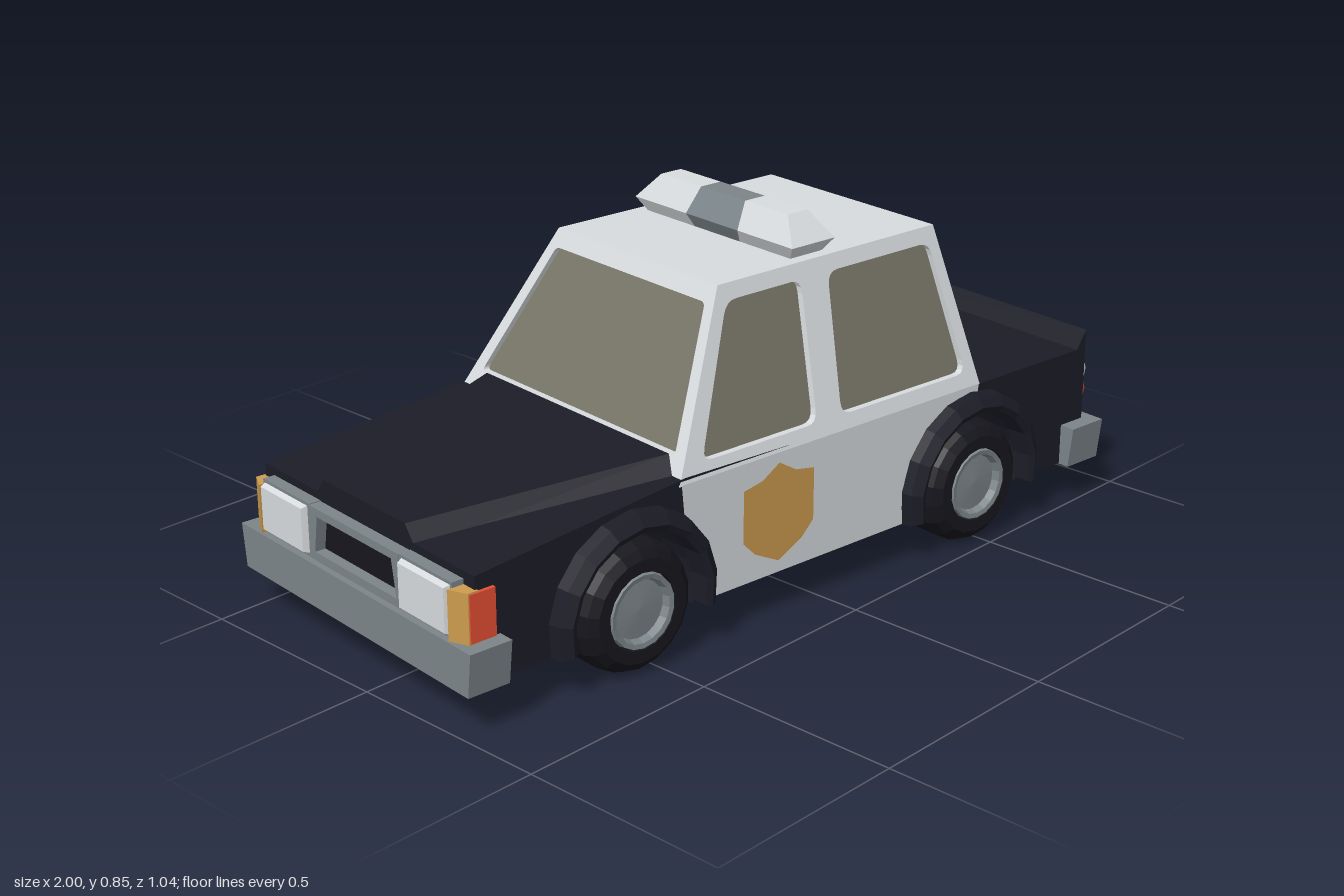
import * as THREE from 'three';

const mat = (name, color, extra = {}) => new THREE.MeshStandardMaterial({ name, color, ...extra });

export function createModel() {
  const navy = mat('navy paint', 0x1c1c27);
  const white = mat('white paint', 0xd7dbdd, { side: THREE.DoubleSide });
  const glass = mat('tinted glass', 0x777467);
  const gray = mat('gray trim', 0x7c8589);
  const rubber = mat('rubber', 0x16161d);
  const red = mat('red lens', 0xe85036);
  const gold = mat('gold', 0xcc9b4e, { side: THREE.DoubleSide });
  const lens = mat('clear lens', 0xd9dcde);

  const model = new THREE.Group();
  model.name = 'patrolCar';
  const car = new THREE.Group();
  car.name = 'car';
  car.rotation.y = -0.1; // the car stands slightly turned
  model.add(car);

  // Faceted copy of a geometry
  const facet = (geo) => {
    const g = geo.index ? geo.toNonIndexed() : geo;
    g.computeVertexNormals();
    return g;
  };
  // Copy reflected to the other side, with corner order reversed
  const reflect = (geo) => {
    const g = geo.clone(), p = g.attributes.position;
    for (let i = 0; i < p.count; i += 3) {
      const t = [0, 2, 1].map((k) => [p.getX(i + k), p.getY(i + k), -p.getZ(i + k)]);
      t.forEach((v, k) => p.setXYZ(i + k, ...v));
    }
    g.computeVertexNormals();
    return g;
  };
  const add = (name, geo, material) => {
    const m = new THREE.Mesh(facet(geo), material);
    m.name = name;
    car.add(m);
  };
  const addPair = (name, geo, material) => {
    const g = facet(geo);
    add(name + 'Left', g, material);
    add(name + 'Right', reflect(g), material);
  };
  // Move every vertex by a rule
  const morph = (g, rule) => {
    const p = g.attributes.position;
    for (let i = 0; i < p.count; i++) p.setXYZ(i, ...rule(p.getX(i), p.getY(i), p.getZ(i)));
    return g;
  };
  // Box whose corners are placed by a rule on their low/high index
  const block = (rule) => morph(new THREE.BoxGeometry(1, 1, 1), (x, y, z) => rule(+(x > 0), +(y > 0), +(z > 0)));
  const box = (x, y, z) => block((i, j, k) => [x[i], y[j], z[k]]);
  // Each level is [y, x0, x1, z0, z1]
  const taper = (lo, hi) => block((i, j, k) => {
    const l = j ? hi : lo;
    return [l[1 + i], l[0], l[3 + k]];
  });
  const polygon = (pts) => new THREE.Shape(pts.map((p) => new THREE.Vector2(...p)));
  // Rounded polygon outline
  const rounded = (pts, r) => {
    const v = pts.map((p) => new THREE.Vector2(...p)), s = new THREE.Shape(), n = v.length;
    v.forEach((c, i) => {
      const a = v[(i + n - 1) % n], b = v[(i + 1) % n];
      const p = c.clone().add(a.clone().sub(c).setLength(r));
      const q = c.clone().add(b.clone().sub(c).setLength(r));
      i ? s.lineTo(p.x, p.y) : s.moveTo(p.x, p.y);
      s.quadraticCurveTo(c.x, c.y, q.x, q.y);
    });
    s.closePath();
    return s;
  };
  const extrude = (shape, depth, curveSegments = 4) =>
    new THREE.ExtrudeGeometry(shape, { depth, bevelEnabled: false, curveSegments });

  const axles = [-0.51, 0.52], hubY = 0.15;

  // Lower body with wheel wells cut through
  const side = new THREE.Shape();
  [[-0.915, 0.1], [-0.915, 0.345], [-0.36, 0.4], [0.545, 0.385], [0.9, 0.385], [0.93, 0.43], [0.93, 0.1]]
    .forEach((p, i) => (i ? side.lineTo(...p) : side.moveTo(...p)));
  const dip = Math.asin(0.05 / 0.18);
  for (const u of [...axles].reverse()) side.absarc(u, hubY, 0.18, -dip, Math.PI + dip, false);
  side.closePath();
  add('lowerBody', extrude(side, 0.774, 10).translate(0, 0, -0.387), navy);
  add('chassis', taper([0.065, -0.67, 0.71, -0.295, 0.295], [0.32, -0.72, 0.76, -0.295, 0.295]), rubber);

  // Raised hood panel, widening toward the windshield
  add('hoodPanel', block((i, j, k) => {
    const w = i ? (j ? 0.325 : 0.378) : (j ? 0.15 : 0.185);
    return [i ? -0.345 : -0.915, i ? (j ? 0.435 : 0.39) : (j ? 0.38 : 0.335), k ? w : -w];
  }), navy);

  // Door panels between the arches
  const door = new THREE.Shape();
  const d2 = Math.asin(0.05 / 0.22);
  door.moveTo(-0.296, 0.1);
  door.absarc(axles[1], hubY, 0.22, Math.PI + d2, Math.PI / 2 - 0.11, true);
  door.lineTo(0.547, 0.387);
  door.lineTo(-0.372, 0.387);
  door.absarc(axles[0], hubY, 0.22, 0.85, -d2, true);
  door.closePath();
  addPair('doorPanel', new THREE.ShapeGeometry(door, 10).translate(0, 0, 0.39), white);

  // Plain shield panels on the doors
  const shield = polygon([[0, 0.365], [0.05, 0.335], [0.105, 0.325], [0.105, 0.2], [0.07, 0.165], [0, 0.13],
    [-0.07, 0.165], [-0.105, 0.2], [-0.105, 0.325], [-0.05, 0.335]]);
  addPair('shieldPanel', new THREE.ShapeGeometry(shield).translate(-0.093, 0, 0.394), gold);

  // Cabin: sloping window frames around a recessed glass core
  const y0 = 0.385, y1 = 0.76, deep = 0.018;
  const at = (a, b) => (y) => a + (b - a) * (y - y0) / (y1 - y0);
  const halfW = at(0.39, 0.274), frontU = at(-0.378, -0.17), rearU = at(0.55, 0.495);
  const level = (y, inset) => [y, frontU(y) + inset, rearU(y) - inset, -halfW(y) + inset, halfW(y) - inset];
  add('windowGlass', taper(level(y0, deep - 0.002), level(0.75, deep - 0.002)), glass);
  add('roof', taper(level(0.735, 0), level(y1, 0)), white);

  const sideFrame = polygon([[frontU(y0), y0], [rearU(y0), y0], [rearU(y1), y1], [frontU(y1), y1]]);
  sideFrame.holes.push(
    rounded([[-0.305, 0.42], [0.033, 0.42], [0.066, 0.724], [-0.155, 0.724]], 0.03),
    rounded([[0.108, 0.42], [0.51, 0.42], [0.471, 0.724], [0.148, 0.724]], 0.03));
  addPair('sideWindowFrame', morph(extrude(sideFrame, deep), (x, y, d) => [x, y, halfW(y) - deep + d]), white);

  const endFrame = (low, lw) => {
    const s = polygon([[-halfW(y0), y0], [halfW(y0), y0], [halfW(y1), y1], [-halfW(y1), y1]]);
    s.holes.push(rounded([[-lw, low], [lw, low], [0.257, 0.722], [-0.257, 0.722]], 0.012));
    return extrude(s, deep);
  };
  add('windshieldFrame', morph(endFrame(0.435, 0.342), (s, y, d) => [frontU(y) + deep - d, y, s]), white);
  add('rearWindowFrame', morph(endFrame(0.402, 0.35), (s, y, d) => [rearU(y) - deep + d, y, -s]), white);

  // Roof light bar: centre section and two lenses
  const barLow = [0.755, 0.075, 0.165], barMid = [0.792, 0.055, 0.185], barTop = [0.852, 0.09, 0.15];
  add('lightBarCentreLower', taper([...barLow, -0.075, 0.075], [...barMid, -0.088, 0.088]), gray);
  add('lightBarCentreUpper', taper([...barMid, -0.088, 0.088], [...barTop, -0.075, 0.075]), gray);
  addPair('lightBarLensLower', taper([...barLow, 0.075, 0.24], [...barMid, 0.088, 0.268]), lens);
  addPair('lightBarLensUpper', taper([...barMid, 0.088, 0.268], [...barTop, 0.075, 0.215]), lens);

  // Wheels and flared arches
  const turned = (pts, seg, start, len) => new THREE.LatheGeometry(pts.map((p) => new THREE.Vector2(...p)), seg, start, len)
    .rotateX(Math.PI / 2);
  axles.forEach((u, i) => {
    const end = i ? 'rear' : 'front';
    const put = (g) => g.translate(u, hubY, 0);
    addPair(end + 'Tire', put(turned([[0, 0.3], [0.13, 0.3], [0.15, 0.32], [0.15, 0.385], [0.14, 0.41],
      [0.12, 0.425], [0.09, 0.425], [0.085, 0.4]], 18)), rubber);
    addPair(end + 'Hub', put(turned([[0.09, 0.4], [0.085, 0.427], [0.074, 0.425], [0.068, 0.408], [0, 0.413]], 18)), gray);
    addPair(end + 'Arch', put(turned([[0.226, 0.375], [0.218, 0.415], [0.195, 0.432], [0.18, 0.425], [0.178, 0.375]],
      10, Math.PI / 2 - 0.23, Math.PI + 0.46)), navy);
  });

  // Wrap-around bumpers
  const bumper = (name, outer, face, wrap) => {
    const bar = [face, outer].sort((a, b) => a - b), end = [wrap, outer].sort((a, b) => a - b);
    add(name + 'Bar', box(bar, [0.098, 0.2], [-0.39, 0.39]), gray);
    addPair(name + 'End', block((i, j, k) => [end[i], j ? 0.2 : 0.098, k ? (j ? 0.427 : 0.415) : 0.385]), gray);
  };
  bumper('frontBumper', -0.96, -0.91, -0.855);
  bumper('rearBumper', 0.962, 0.925, 0.855);

  // Grille frame around a dark opening
  const frame = polygon([[-0.167, 0.2], [0.167, 0.2], [0.167, 0.325], [-0.167, 0.325]]);
  frame.holes.push(polygon([[-0.152, 0.22], [-0.138, 0.306], [0.138, 0.306], [0.152, 0.22]]));
  add('grilleFrame', extrude(frame, 0.035).rotateY(-Math.PI / 2).translate(-0.91, 0, 0), gray);
  add('grilleOpening', box([-0.919, -0.91], [0.21, 0.315], [-0.16, 0.16]), rubber);

  // Headlights and corner lamps
  addPair('headlightHousing', box([-0.944, -0.91], [0.2, 0.327], [0.167, 0.35]), gray);
  addPair('headlight', block((i, j, k) => {
    const s = i ? 0 : 0.008;
    return [i ? -0.935 : -0.958, j ? 0.323 - s : 0.206 + s, k ? 0.347 - s : 0.172 + s];
  }), lens);
  addPair('cornerLampFront', block((i, j, k) => [i ? -0.91 : (k ? -0.936 : -0.956), j ? 0.315 : 0.2, k ? 0.393 : 0.349]), gold);
  addPair('cornerLampSide', box([-0.934, -0.87], [0.203, 0.312], [0.375, 0.396]), red);

  // Tail lights with a shallow ridge
  const tailLamp = (name, lo, hi, material) => {
    const mid = (lo + hi) / 2;
    addPair(name + 'Base', box([0.92, 0.945], [lo, hi], [0.18, 0.373]), material);
    addPair(name + 'Ridge', block((i, j, k) => [i ? 0.96 : 0.945, i ? mid + (j - 0.5) * 0.004 : (j ? hi : lo),
      k ? 0.373 - i * 0.006 : 0.18 + i * 0.006]), material);
  };
  tailLamp('reverseLight', 0.291, 0.346, lens);
  tailLamp('tailLight', 0.242, 0.291, red);

  return model;
}
